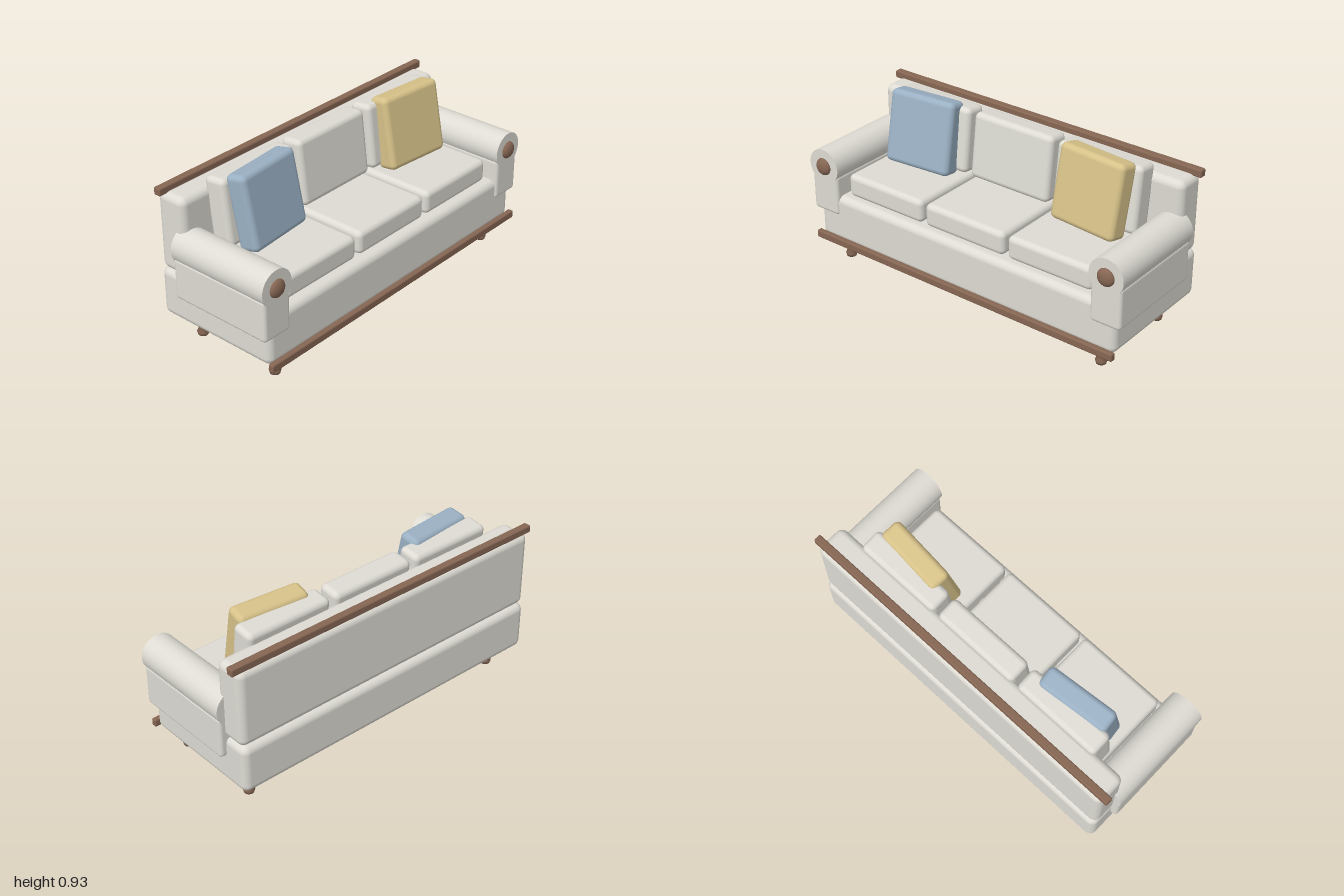
import * as THREE from 'three';
import { RoundedBoxGeometry } from 'three/addons/geometries/RoundedBoxGeometry.js';

const material = (color) => new THREE.MeshStandardMaterial({ color });

export function createModel() {
  const sofa = new THREE.Group();
  sofa.name = 'sofa';
  const fabric = material(0xdddbd3);
  const wood = material(0x866653);
  const blue = material(0x9ab0c3);
  const yellow = material(0xd6c188);

  const add = (name, geometry, mat, x, y, z, parent = sofa) => {
    const mesh = new THREE.Mesh(geometry, mat);
    mesh.name = name;
    mesh.position.set(x, y, z);
    parent.add(mesh);
    return mesh;
  };
  const box = (w, h, d, r) => new RoundedBoxGeometry(w, h, d, 4, r);

  // Upholstered base and backrest
  add('base', box(1.91, 0.27, 0.727, 0.04), fabric, 0, 0.265, -0.0175);
  add('backrest', box(1.91, 0.43, 0.176, 0.04), fabric, 0, 0.615, -0.283);

  // Wooden trim rails
  add('topRail', box(1.965, 0.042, 0.042, 0.008), wood, 0, 0.841, -0.336);
  add('frontRail', box(1.93, 0.043, 0.032, 0.008), wood, 0, 0.142, 0.362);

  // Seat and back cushions
  const seatGeo = box(0.507, 0.13, 0.51, 0.03);
  const backGeo = box(0.5, 0.36, 0.13, 0.03);
  for (const x of [-0.53, 0, 0.53]) {
    add('seatCushion', seatGeo, fabric, x, 0.465, 0.045);
    add('backCushion', backGeo, fabric, x, 0.712, -0.145).rotation.x = -0.12;
  }

  // Throw pillows, leaning back and turned slightly outwards
  const pillowGeo = box(0.4, 0.4, 0.12, 0.03);
  for (const [side, mat] of [[-1, blue], [1, yellow]]) {
    const pillow = add('throwPillow', pillowGeo, mat, side * 0.54, 0.725, -0.045);
    pillow.rotation.set(-0.2, -side * 0.09, 0, 'YXZ');
  }

  // Arms: padded panel, rolled top and a wooden knob on the front
  const panelGeo = box(0.176, 0.23, 0.602, 0.02);
  const rollGeo = new THREE.CylinderGeometry(0.098, 0.098, 0.602, 40).rotateX(Math.PI / 2);
  const knobGeo = new THREE.SphereGeometry(0.048, 24, 16).scale(1, 1, 0.55);
  for (const side of [-1, 1]) {
    const arm = new THREE.Group();
    arm.name = side > 0 ? 'leftArm' : 'rightArm';
    arm.position.x = side * 0.902;
    sofa.add(arm);
    add('armPanel', panelGeo, fabric, 0, 0.405, 0.056, arm);
    add('armRoll', rollGeo, fabric, 0, 0.56, 0.056, arm);
    add('armKnob', knobGeo, wood, 0, 0.56, 0.357, arm);
  }

  // Turned legs
  const profile = [[0, 0], [0.026, 0], [0.031, 0.018], [0.019, 0.045],
    [0.035, 0.08], [0.036, 0.135], [0, 0.135]].map(([r, y]) => new THREE.Vector2(r, y));
  const legGeo = new THREE.LatheGeometry(profile, 20);
  for (const x of [-0.83, 0.83]) {
    for (const z of [-0.238, 0.258]) add('leg', legGeo, wood, x, 0, z);
  }

  return sofa;
}
